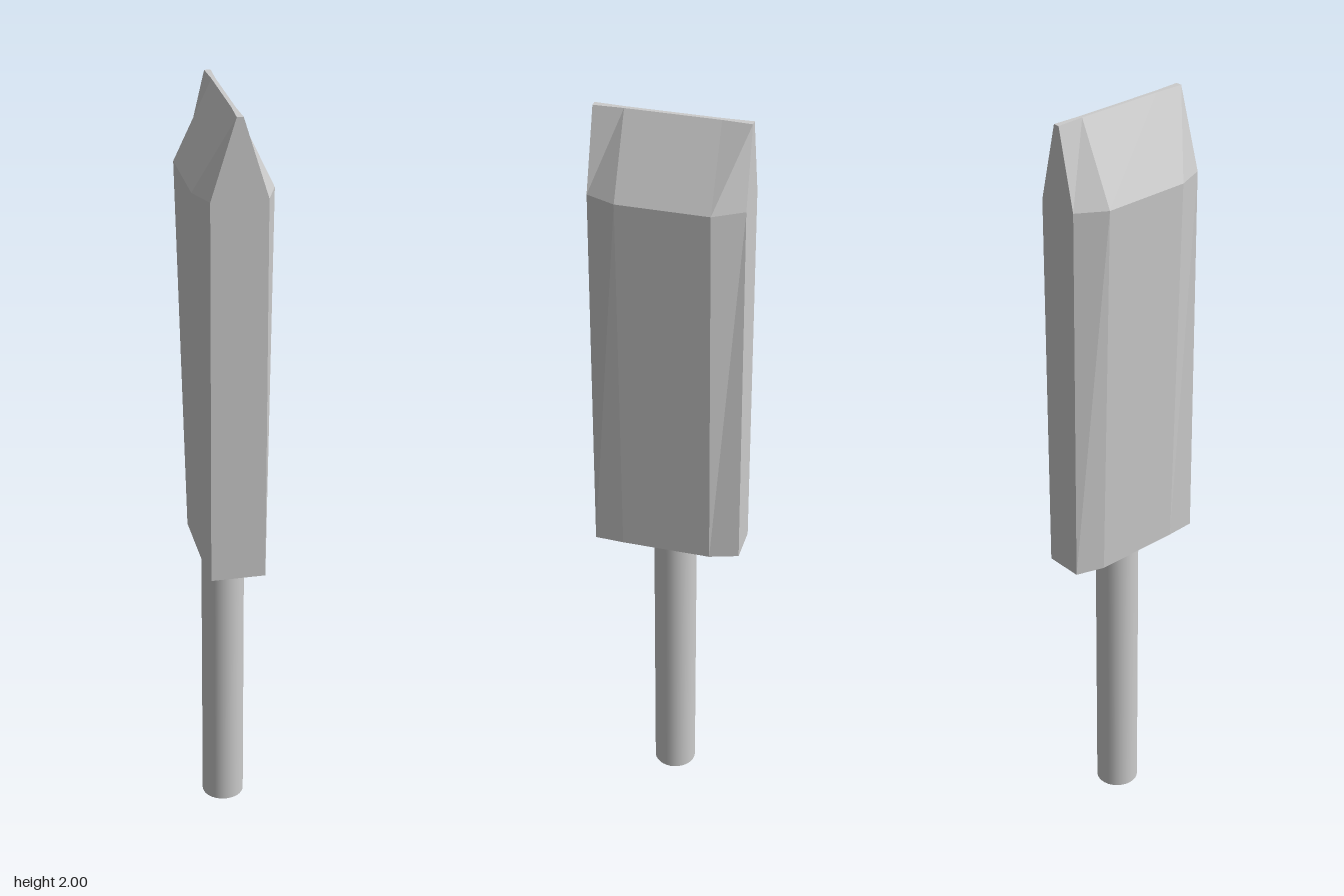
import * as THREE from 'three';

const material = new THREE.MeshStandardMaterial({ color: 0xcccccc });
const bladeMaterial = new THREE.MeshStandardMaterial({ color: 0xcccccc, flatShading: true });

// Eight-sided section at height y: half-widths at the front, middle and back
function section(y, front, middle, back) {
  const half = [[front, 0.19], [middle, 0.115], [middle, -0.117], [back, -0.19]];
  const mirrored = half.map(([x, z]) => [-x, z]).reverse();
  return [...half, ...mirrored].map(([x, z]) => [x, y, z]);
}

// Join the sections with flat sides and close both ends
function loft(rings) {
  const n = rings[0].length;
  const index = [];
  for (let r = 0; r < rings.length - 1; r++) {
    for (let i = 0; i < n; i++) {
      const a = r * n + i, b = r * n + (i + 1) % n;
      index.push(a, b, b + n, a, b + n, a + n);
    }
  }
  const top = (rings.length - 1) * n;
  // Caps are strips between mirrored pairs of corners
  for (let i = 0; i < n / 2 - 1; i++) {
    const [a, b, c, d] = [i, i + 1, n - 2 - i, n - 1 - i];
    index.push(a, c, b, a, d, c);
    index.push(top + a, top + b, top + c, top + a, top + c, top + d);
  }
  const geometry = new THREE.BufferGeometry();
  geometry.setAttribute('position', new THREE.Float32BufferAttribute(rings.flat(2), 3));
  geometry.setIndex(index);
  const flat = geometry.toNonIndexed();
  flat.computeVertexNormals();
  return flat;
}

export function createModel() {
  const group = new THREE.Group();

  // Blade: widens upward, then closes to a narrow ridge
  const blade = new THREE.Mesh(loft([
    section(0.79, 0.07, 0.073, 0.05),
    section(1.8, 0.07, 0.1, 0.055),
    section(2, 0.008, 0.005, 0.008),
  ]), bladeMaterial);
  blade.name = 'blade';
  group.add(blade);

  // Round handle below the blade
  const handle = new THREE.Mesh(new THREE.CylinderGeometry(0.056, 0.056, 0.8, 32), material);
  handle.name = 'handle';
  handle.position.set(0, 0.4, -0.007);
  group.add(handle);

  return group;
}
